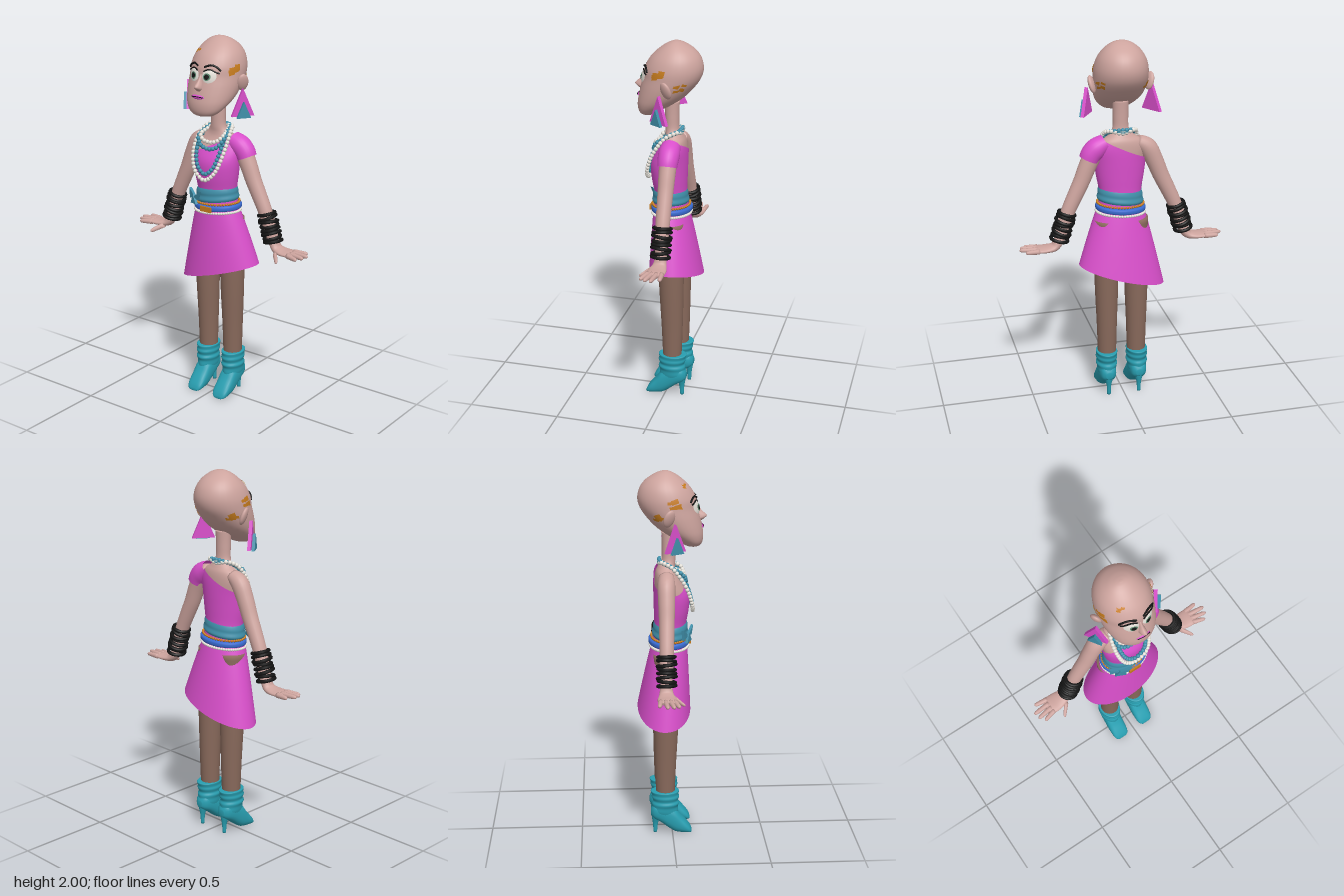
import * as THREE from 'three';
import { mergeGeometries } from 'three/addons/utils/BufferGeometryUtils.js';

const mat = (name, color, side = THREE.FrontSide) => {
  const m = new THREE.MeshStandardMaterial({ color, side });
  m.name = name;
  return m;
};
const V = (x, y, z) => new THREE.Vector3(x, y, z);

// Catmull-Rom resampling of rows of numbers
function smooth(keys, n = 8) {
  const out = [], k = i => keys[Math.max(0, Math.min(keys.length - 1, i))];
  for (let i = 0; i < keys.length - 1; i++) {
    for (let j = 0; j < n; j++) {
      const t = j / n;
      out.push(k(i).map((p, c) => {
        const a = (k(i + 1)[c] - k(i - 1)[c]) / 2, b = (k(i + 2)[c] - p) / 2, d = k(i + 1)[c] - p;
        return p + a * t + (3 * d - 2 * a - b) * t * t + (a + b - 2 * d) * t * t * t;
      }));
    }
  }
  out.push(k(keys.length - 1));
  return out;
}

// Closed skin over rings of points, optionally capped
function skinRings(rows, capped = true) {
  const n = rows[0].length, pts = rows.flat(), idx = [];
  for (let i = 0; i < rows.length - 1; i++) {
    for (let j = 0; j < n; j++) {
      const a = i * n + j, b = i * n + (j + 1) % n;
      idx.push(a, a + n, b, b, a + n, b + n);
    }
  }
  if (capped) {
    [0, rows.length - 1].forEach(r => {
      const c = V(0, 0, 0);
      rows[r].forEach(p => c.addScaledVector(p, 1 / n));
      const ci = pts.push(c) - 1;
      for (let j = 0; j < n; j++) {
        const a = r * n + j, b = r * n + (j + 1) % n;
        r === 0 ? idx.push(ci, a, b) : idx.push(ci, b, a);
      }
    });
  }
  const g = new THREE.BufferGeometry().setFromPoints(pts);
  g.setIndex(idx);
  g.computeVertexNormals();
  return g;
}
const ringOf = (f, n = 32) => Array.from({ length: n }, (_, j) => f(j / n * Math.PI * 2));

// Upright form; keys are [y, half width, front z, back z]
const at = ([y, rx, f, b], a, off = 0) =>
  V(Math.cos(a) * (rx + off), y, (f + b) / 2 + Math.sin(a) * ((f - b) / 2 + off));
function lookup(table, y) {
  let i = 0;
  while (i < table.length - 2 && table[i + 1][0] < y) i++;
  const t = (y - table[i][0]) / (table[i + 1][0] - table[i][0]);
  return table[i].map((v, c) => THREE.MathUtils.lerp(v, table[i + 1][c], t));
}
const upright = (table, capped = true, tilt = 0) => skinRings(table.map(r => ringOf(a => {
  const p = at(r, a);
  p.y += tilt * p.x;
  return p;
})), capped);

// Limb along a path in x and y; keys are [x, y, z, thickness, depth]
function limb(keys, s = 1, n = 20, capped = true, steps = 5) {
  const k = smooth(keys.map(([x, ...r]) => [x * s, ...r]), steps);
  return skinRings(k.map((p, i) => {
    const q = k[Math.min(i + 1, k.length - 1)], o = k[Math.max(i - 1, 0)];
    const u = V(q[0] - o[0], q[1] - o[1], q[2] - o[2]).cross(V(0, 0, 1)).normalize();
    return ringOf(a => V(p[0], p[1], p[2] + p[4] * Math.sin(a)).addScaledVector(u, p[3] * Math.cos(a)), n);
  }), capped);
}

function triangle(pts, depth) {
  return new THREE.ExtrudeGeometry(new THREE.Shape(pts.map(p => new THREE.Vector2(...p))), { depth, bevelEnabled: false });
}
const beads = (points, r) => mergeGeometries(points.map(p => new THREE.SphereGeometry(r, 10, 7).translate(p.x, p.y, p.z)));

const headTable = smooth([
  [1.603, 0.03, 0.135, 0.09], [1.612, 0.065, 0.152, 0.065], [1.635, 0.094, 0.163, 0.03], [1.67, 0.118, 0.166, -0.03],
  [1.71, 0.133, 0.16, -0.085], [1.76, 0.142, 0.148, -0.132], [1.81, 0.144, 0.135, -0.166], [1.86, 0.141, 0.127, -0.178],
  [1.91, 0.126, 0.1, -0.167], [1.95, 0.1, 0.062, -0.138], [1.98, 0.066, 0.022, -0.095], [1.995, 0.034, -0.008, -0.06], [2, 0.006, -0.028, -0.036]]);
const bodyTable = smooth([
  [1.05, 0.12, 0.08, -0.1], [1.12, 0.112, 0.073, -0.092], [1.18, 0.107, 0.07, -0.086], [1.27, 0.122, 0.085, -0.088],
  [1.35, 0.132, 0.085, -0.09], [1.42, 0.134, 0.05, -0.09], [1.465, 0.112, 0.025, -0.085], [1.495, 0.07, 0.018, -0.072],
  [1.53, 0.044, 0.02, -0.054], [1.6, 0.041, 0.022, -0.052], [1.68, 0.043, 0.024, -0.054]]);

const faceZ = (x, y) => {
  const [, rx, f, b] = lookup(headTable, y);
  return (f + b) / 2 + (f - b) / 2 * Math.sqrt(Math.max(0, 1 - (x / rx) ** 2));
};
// Thin oval following the face
function faceDisc(x, y, rx, ry, off, bulge = 0) {
  const g = new THREE.RingGeometry(0.001, 1, 28, 5), p = g.attributes.position;
  for (let i = 0; i < p.count; i++) {
    const u = p.getX(i), v = p.getY(i), px = x + u * rx, py = y + v * ry;
    p.setXYZ(i, px, py, faceZ(px, py) + off + bulge * (1 - u * u - v * v));
  }
  g.computeVertexNormals();
  return g;
}
const faceLine = (pts, r) => new THREE.TubeGeometry(
  new THREE.CatmullRomCurve3(pts.map(([x, y]) => V(x, y, faceZ(x, y) + 0.003))), 14, r, 6);

export function createModel() {
  const model = new THREE.Group();
  const D = THREE.DoubleSide;
  const skin = mat('skin', 0xcda49e), tights = mat('tights', 0x88695b), pink = mat('magenta cloth', 0xd94fcb, D);
  const boot = mat('turquoise leather', 0x289eb0), sash = mat('dusty teal', 0x4090aa, D), blue = mat('belt blue', 0x3a6bd0, D);
  const black = mat('black', 0x141414), white = mat('pearl', 0xe6e2da), orange = mat('orange', 0xc67c1e, D), green = mat('iris green', 0x5c8a70);
  const add = (name, geo, m) => {
    const mesh = new THREE.Mesh(geo, m);
    mesh.name = name;
    model.add(mesh);
    return mesh;
  };

  // Head, neck and torso
  add('head', upright(headTable), skin);
  add('torsoAndNeck', upright(bodyTable), skin);
  add('nose', upright(smooth([[1.738, 0.008, 0.158, 0.13], [1.75, 0.019, 0.172, 0.12], [1.765, 0.018, 0.184, 0.11],
    [1.79, 0.012, 0.158, 0.1], [1.825, 0.008, 0.133, 0.1]], 4)), skin);
  add('lips', faceDisc(0, 1.71, 0.04, 0.011, 0.003, 0.006), pink);
  add('mouthLine', faceLine([[-0.036, 1.71], [0, 1.712], [0.036, 1.71]], 0.0025).translate(0, 0, 0.005), black);

  // Hair patches: small ragged plates on the scalp, [angle, y, angle span, height]
  let seed = 7;
  const rnd = () => (seed = (seed * 16807) % 2147483647) / 2147483647 - 0.5;
  [[2.2, 1.928, 0.36, 0.022], [2.88, 1.845, 0.55, 0.05], [3.7, 1.78, 0.5, 0.045], [0.3, 1.845, 0.5, 0.05], [-0.55, 1.78, 0.45, 0.04]]
    .forEach(([a0, y0, da, dy]) => {
      const parts = [];
      for (let i = 0; i < 7; i++) {
        const g = new THREE.PlaneGeometry(da * 0.45, dy * 0.3, 5, 3), p = g.attributes.position;
        const ca = a0 + rnd() * da * 0.7, cy = y0 + rnd() * dy * 0.9, lean = rnd() * 0.1;
        for (let j = 0; j < p.count; j++) {
          const u = p.getX(j), q = at(lookup(headTable, cy + p.getY(j) + u * lean), ca - u, 0.0025 + i * 0.0002);
          p.setXYZ(j, q.x, q.y, q.z);
        }
        g.computeVertexNormals();
        parts.push(g);
      }
      add('hairPatch', mergeGeometries(parts), orange);
    });

  // Dress bodice cut on a slant over one shoulder
  const slant = ringOf(a => {
    let lo = 1.2, hi = 1.5;
    for (let i = 0; i < 24; i++) {
      const y = (lo + hi) / 2;
      y < 1.43 + 0.5 * at(lookup(bodyTable, y), a).x ? lo = y : hi = y;
    }
    return lo;
  }, 48);
  const bodice = [], skirt = [];
  for (let i = 0; i <= 24; i++) {
    const t = i / 24;
    bodice.push(slant.map((top, j) => at(lookup(bodyTable, 1.06 + (top - 1.06) * t), j / 48 * Math.PI * 2, 0.007)));
    // Skirt with a sloping hem
    const f = 1 - t, flare = f ** 0.9;
    skirt.push(ringOf(a => at([1.095 - f * (0.383 - 0.3 * 0.23 * Math.cos(a)), 0.122 + 0.112 * flare,
      0.082 + 0.02 * flare, -0.1 - 0.085 * flare], a), 48));
  }
  add('bodice', skinRings(bodice, false), pink);
  add('skirt', skinRings(skirt, false), pink);
  add('shoulderCap', limb([[0.085, 1.462, -0.031, 0.044, 0.05], [0.13, 1.435, -0.033, 0.056, 0.056],
    [0.16, 1.405, -0.034, 0.056, 0.054], [0.175, 1.375, -0.034, 0.053, 0.051]], 1, 24, false), pink);

  // Sash with folds, bow, belt, bead chain and buckle
  add('sash', upright(smooth([[1.122, 0.121, 0.085, -0.1], [1.135, 0.127, 0.09, -0.106], [1.155, 0.122, 0.085, -0.1],
    [1.172, 0.122, 0.086, -0.099], [1.19, 0.117, 0.082, -0.094], [1.203, 0.109, 0.073, -0.086]], 4), false, 0.12), sash);
  const bow = new THREE.Group();
  bow.name = 'bow';
  [[[-0.06, 0.035], [0.005, -0.005], [-0.055, -0.02]], [[0.06, 0.04], [0.035, -0.01], [-0.005, 0]], [[-0.005, 0.012], [0.03, -0.035], [-0.03, -0.04]]]
    .forEach((pts, i) => {
      const m = new THREE.Mesh(triangle(pts, 0.014), sash);
      m.position.z = i * 0.004;
      bow.add(m);
    });
  bow.position.set(-0.078, 1.14, 0.072);
  bow.rotation.y = -0.45;
  model.add(bow);
  add('belt', upright(smooth([[1.074, 0.122, 0.083, -0.11], [1.078, 0.134, 0.093, -0.122], [1.09, 0.137, 0.095, -0.125],
    [1.102, 0.134, 0.092, -0.122], [1.106, 0.12, 0.08, -0.105]], 3), false, 0.06), blue);
  add('beadChain', beads(ringOf(a => at([1.066 + 0.008 * Math.cos(a), 0.131, 0.09, -0.116], a), 56), 0.008), white);
  add('chainLinks', beads(ringOf(a => at([1.113 + 0.008 * Math.cos(a), 0.125, 0.086, -0.109], a), 48), 0.007), orange);
  add('buckle', new THREE.BoxGeometry(0.07, 0.028, 0.009).translate(0, 1.088, 0.097), orange);

  // Necklaces
  [['shortTealNecklace', 1.415, 0.08, 0.075, sash], ['shortPearlNecklace', 1.45, 0.068, 0.066, white],
    ['longTealNecklace', 1.285, 0.076, 0.106, sash], ['longPearlNecklace', 1.253, 0.097, 0.112, white]]
    .forEach(([name, low, w, z, m], i) => {
      const half = [[w * 0.62, 1.525, -0.055], [w * 0.92, 1.5, 0], [w, 1.5 - (1.5 - low) * 0.4, 0.03 + (z - 0.03) * 0.5],
        [w * 0.65, low + (1.5 - low) * 0.18, z * 0.95]];
      const pts = [V(0, 1.53 - i * 0.006, -0.066), ...half.map(p => V(...p)), V(0, low, z), ...half.reverse().map(([x, y, d]) => V(-x, y, d))];
      const curve = new THREE.CatmullRomCurve3(pts, true);
      add(name, beads(curve.getSpacedPoints(Math.round(curve.getLength() / 0.021)).slice(1), 0.0115), m);
    });

  for (const s of [1, -1]) {
    const side = s > 0 ? 'left' : 'right';
    // Eyes and brows
    add(side + 'Eye', faceDisc(s * 0.047, 1.817, 0.036, 0.034, 0.003, 0.008), white);
    add(side + 'Iris', faceDisc(s * 0.042, 1.815, 0.019, 0.019, 0.0115, 0.001), green);
    add(side + 'Pupil', faceDisc(s * 0.042, 1.815, 0.013, 0.013, 0.0135, 0.001), black);
    add(side + 'Lashes', faceLine([[s * 0.094, 1.832], [s * 0.076, 1.84], [s * 0.048, 1.852], [s * 0.018, 1.84]], 0.004), black);
    add(side + 'Brow', faceLine([[s * 0.098, 1.845], [s * 0.082, 1.862], [s * 0.053, 1.873], [s * 0.018, 1.862]], 0.0055), black);

    // Ears and triangle earrings
    const ear = add(side + 'Ear', new THREE.SphereGeometry(1, 20, 14), skin);
    ear.scale.set(0.016, 0.048, 0.032);
    ear.position.set(s * 0.153, 1.775, -0.02);
    ear.rotation.set(0.15, s * -0.5, s * -0.25);
    const earring = new THREE.Group();
    earring.name = side + 'Earring';
    earring.add(new THREE.Mesh(triangle([[0, 0.145], [-0.062, 0], [0.062, 0]], 0.018), pink));
    const inner = new THREE.Mesh(triangle([[0, 0.085], [-0.038, 0], [0.038, 0]], 0.016), sash);
    inner.position.set(0, -0.007, 0.019);
    earring.add(inner);
    earring.position.set(s * 0.168, 1.607, 0.005);
    earring.rotation.y = s * 0.985;
    model.add(earring);

    // Arm with palm, fingers and thumb
    add(side + 'Arm', limb([[0.085, 1.455, -0.031, 0.034, 0.04], [0.14, 1.42, -0.034, 0.049, 0.046], [0.18, 1.345, -0.035, 0.047, 0.044],
      [0.215, 1.26, -0.036, 0.044, 0.041], [0.253, 1.18, -0.038, 0.041, 0.039], [0.29, 1.1, -0.04, 0.038, 0.037],
      [0.322, 1.01, -0.043, 0.034, 0.034], [0.343, 0.945, -0.045, 0.029, 0.031], [0.368, 0.906, -0.045, 0.023, 0.038],
      [0.41, 0.897, -0.043, 0.017, 0.049], [0.455, 0.897, -0.042, 0.014, 0.051], [0.482, 0.897, -0.042, 0.008, 0.045]], s), skin);
    [[0.455, 0.897, -0.079, 0.53, 0.899, -0.087], [0.46, 0.898, -0.054, 0.557, 0.9, -0.046], [0.46, 0.898, -0.029, 0.55, 0.898, -0.013],
      [0.455, 0.896, -0.006, 0.527, 0.893, 0.014], [0.375, 0.893, -0.01, 0.425, 0.862, 0.046]].forEach(([x, y, z, X, Y, Z], i) => {
      const r = 0.012, step = (t, k) => [x + (X - x) * t, y + (Y - y) * t, z + (Z - z) * t, r * k, r * k];
      add(side + (i < 4 ? 'Finger' : 'Thumb'), limb([step(0, 1.2), step(0.5, 1.05), step(0.88, 0.85), step(1, 0.3)], s, 10, true, 3), skin);
    });

    // Stack of bangles
    for (let i = 0; i < 8; i++) {
      const t = i / 7, ring = add(side + 'Bangle', new THREE.TorusGeometry(0.044 + 0.002 * (i % 3), 0.0095, 8, 24), black);
      ring.position.set(s * (0.299 + 0.043 * t), 1.087 - 0.142 * t, -0.042);
      ring.rotation.set(Math.PI / 2 + 0.12 * Math.sin(i * 2.3), s * (0.3 + 0.1 * Math.sin(i * 1.7)), 0);
    }

    // Leg
    const x = s * 0.086;
    add(side + 'Leg', upright(smooth([[0.2, 0.05, 0.012, -0.088], [0.4, 0.055, 0.02, -0.095], [0.7, 0.065, 0.036, -0.1],
      [1.03, 0.064, 0.045, -0.1]])).translate(s * 0.083, 0, 0), tights);

    // Boot: slouched shaft, foot and stiletto heel
    add(side + 'BootShaft', upright(smooth([[0.1, 0.044, 0.03, -0.1], [0.13, 0.051, 0.032, -0.118], [0.155, 0.053, 0.03, -0.112],
      [0.175, 0.059, 0.038, -0.113], [0.192, 0.053, 0.031, -0.106], [0.212, 0.059, 0.038, -0.114], [0.228, 0.056, 0.034, -0.113],
      [0.246, 0.059, 0.037, -0.119], [0.25, 0.054, 0.03, -0.112]], 4)).translate(x, 0, 0), boot);
    const foot = smooth([[-0.119, 0.105, 0.14, 0.018], [-0.1, 0.085, 0.17, 0.04], [-0.06, 0.06, 0.18, 0.048], [-0.02, 0.028, 0.17, 0.049],
      [0.015, 0.006, 0.145, 0.05], [0.045, 0.001, 0.103, 0.049], [0.075, 0, 0.066, 0.047], [0.096, 0, 0.037, 0.04], [0.106, 0.002, 0.015, 0.026]], 4);
    add(side + 'BootFoot', skinRings(foot.map(([z, lo, hi, w]) => ringOf(a => {
      const c = Math.cos(a), n = Math.sin(a);
      return V(x + w * Math.sign(c) * Math.abs(c) ** 0.8, (lo + hi) / 2 - (hi - lo) / 2 * Math.sign(n) * Math.abs(n) ** 0.8, z);
    }, 24))), boot);
    add(side + 'BootHeel', upright(smooth([[0, 0.01, -0.085, -0.105], [0.05, 0.012, -0.08, -0.108], [0.09, 0.022, -0.068, -0.114],
      [0.13, 0.035, -0.05, -0.119]], 4)).translate(x, 0, 0), boot);
  }
  return model;
}
